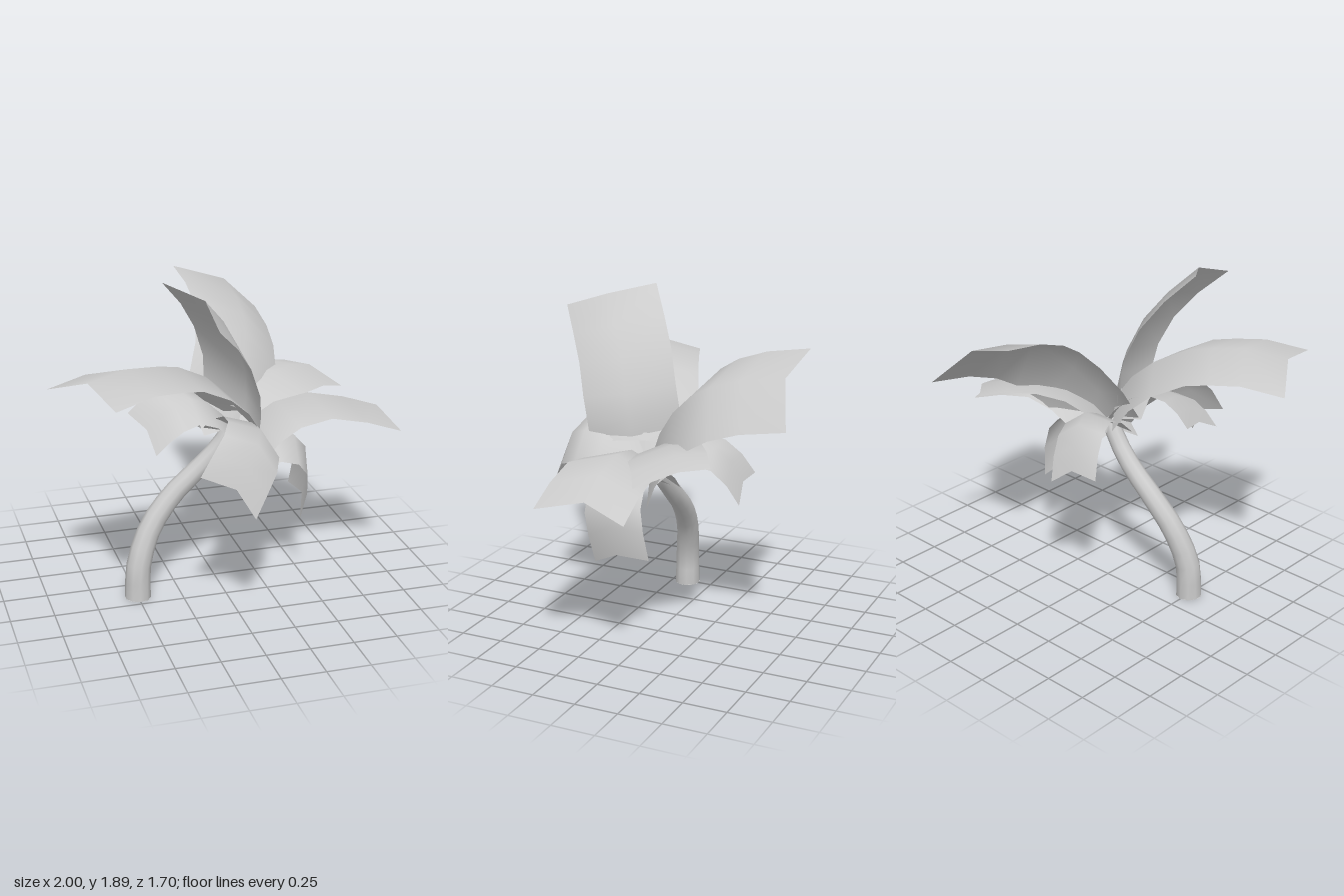
import * as THREE from 'three';

const material = new THREE.MeshStandardMaterial({ color: 0xcccccc, side: THREE.DoubleSide });

// Folded leaf: midrib path from base to tip, plus the offsets of its two edges at base and tip
function frond(name, { rib, base, tip }) {
  const ribPoints = rib.map((p) => new THREE.Vector3(...p));
  const offset = (side, t) =>
    new THREE.Vector3(...base[side]).lerp(new THREE.Vector3(...tip[side]), t);
  const positions = [];
  const index = [];
  ribPoints.forEach((p, i) => {
    const t = i / (ribPoints.length - 1);
    const row = [p.clone().add(offset(0, t)), p, p.clone().add(offset(1, t))];
    row.forEach((v) => positions.push(v.x, v.y, v.z));
    if (i === 0) return;
    for (let j = 0; j < 2; j++) {
      const a = (i - 1) * 3 + j;
      index.push(a, a + 1, a + 3, a + 1, a + 4, a + 3);
    }
  });
  const geometry = new THREE.BufferGeometry();
  geometry.setAttribute('position', new THREE.Float32BufferAttribute(positions, 3));
  geometry.setIndex(index);
  geometry.computeVertexNormals();
  const mesh = new THREE.Mesh(geometry, material);
  mesh.name = name;
  return mesh;
}

// Curved trunk, tapering towards the crown
function trunk() {
  const group = new THREE.Group();
  group.name = 'trunk';
  const curve = new THREE.CatmullRomCurve3([
    [-0.5, 0, 0.155], [-0.49, 0.2, 0.15], [-0.41, 0.41, 0.115], [-0.27, 0.585, 0.085],
    [-0.11, 0.73, 0.08], [0.01, 0.86, 0.09], [0.08, 0.98, 0.1],
  ].map((p) => new THREE.Vector3(...p)));
  const rings = 12, sides = 10;
  const geometry = new THREE.TubeGeometry(curve, rings, 0.075, sides);
  const pos = geometry.attributes.position;
  const v = new THREE.Vector3();
  for (let i = 0; i < pos.count; i++) {
    const t = Math.floor(i / (sides + 1)) / rings;
    const c = curve.getPointAt(t);
    v.fromBufferAttribute(pos, i).sub(c).multiplyScalar(1 - 0.35 * t).add(c);
    pos.setXYZ(i, v.x, Math.max(v.y, 0), v.z);
  }
  const stem = new THREE.Mesh(geometry, material);
  stem.name = 'trunkStem';
  const foot = new THREE.Mesh(new THREE.CircleGeometry(0.075, sides), material);
  foot.name = 'trunkFoot';
  foot.rotation.x = Math.PI / 2;
  foot.position.set(-0.5, 0.002, 0.155);
  group.add(stem, foot);
  return group;
}

const fronds = {
  rightLongFrond: {
    rib: [[0.09, 1.08, 0.16], [0, 1.22, 0.2], [-0.12, 1.33, 0.25], [-0.3, 1.43, 0.33],
      [-0.43, 1.46, 0.385], [-0.6, 1.485, 0.455], [-0.83, 1.46, 0.55]],
    base: [[-0.2, -0.07, -0.245], [0.045, -0.03, 0.305]],
    tip: [[-0.17, -0.1, -0.25], [0.08, -0.06, 0.3]],
  },
  uprightFrond: {
    rib: [[0.11, 1.1, 0.23], [0.115, 1.2, 0.24], [0.1, 1.34, 0.27], [0.03, 1.53, 0.33],
      [-0.07, 1.69, 0.42], [-0.2, 1.84, 0.53]],
    base: [[-0.18, 0.04, -0.23], [0, -0.02, 0.27]],
    tip: [[-0.17, 0.05, -0.23], [0, -0.09, 0.27]],
  },
  backFrond: {
    rib: [[0.05, 0.98, 0.13], [0.12, 1.14, 0.05], [0.2, 1.3, -0.07], [0.25, 1.42, -0.2],
      [0.27, 1.49, -0.32], [0.28, 1.55, -0.5], [0.28, 1.59, -0.755]],
    base: [[-0.25, 0.1, -0.09], [0.18, -0.26, -0.05]],
    tip: [[-0.31, 0.095, -0.025], [0.23, -0.22, -0.095]],
  },
  leftLongFrond: {
    rib: [[0.12, 0.95, 0.13], [0.2, 1.03, 0.13], [0.33, 1.1, 0.12], [0.52, 1.13, 0.11],
      [0.74, 1.08, 0.1], [0.96, 1, 0.08]],
    base: [[0.02, -0.1, -0.22], [0.07, -0.07, 0.27]],
    tip: [[0.005, -0.095, -0.23], [0.04, -0.065, 0.28]],
  },
  backLeftFrond: {
    rib: [[0.08, 0.95, 0.1], [0.15, 1.05, 0.04], [0.27, 1.14, -0.05], [0.4, 1.18, -0.15],
      [0.55, 1.18, -0.25], [0.69, 1.14, -0.33]],
    base: [[-0.1, 0, -0.13], [0.13, -0.08, 0.18]],
    tip: [[-0.12, 0, -0.13], [0.13, -0.08, 0.2]],
  },
  frontFrond: {
    rib: [[0.07, 0.95, 0.14], [0.1, 1.03, 0.25], [0.12, 1.09, 0.4], [0.11, 1.1, 0.53],
      [0.06, 1.06, 0.64], [-0.02, 0.97, 0.71], [-0.09, 0.86, 0.74]],
    base: [[-0.18, 0.05, 0.02], [0.1, -0.16, 0]],
    tip: [[-0.185, 0.075, -0.04], [0.1, -0.17, 0.03]],
  },
  leftDroopingFrond: {
    rib: [[0.1, 0.87, 0.17], [0.2, 0.93, 0.2], [0.3, 0.95, 0.2], [0.42, 0.91, 0.19],
      [0.49, 0.83, 0.18], [0.51, 0.7, 0.16], [0.49, 0.53, 0.14]],
    base: [[-0.01, -0.03, -0.17], [0, -0.12, 0.2]],
    tip: [[-0.02, -0.01, -0.19], [-0.07, -0.09, 0.17]],
  },
  rightShortFrond: {
    rib: [[0.08, 0.95, 0.14], [0, 1.07, 0.17], [-0.1, 1.16, 0.2], [-0.2, 1.2, 0.22],
      [-0.3, 1.18, 0.25], [-0.38, 1.13, 0.26], [-0.455, 1.06, 0.26]],
    base: [[-0.06, 0.03, -0.18], [0.02, -0.09, 0.17]],
    tip: [[-0.065, 0.04, -0.18], [0.01, -0.09, 0.17]],
  },
  backDroopingFrond: {
    rib: [[0.08, 0.95, 0.08], [0.06, 1.05, -0.03], [0.04, 1.1, -0.14], [0, 1.07, -0.24],
      [-0.04, 0.98, -0.32], [-0.08, 0.86, -0.38]],
    base: [[-0.17, -0.02, 0.03], [0.13, -0.1, -0.03]],
    tip: [[-0.18, 0, 0], [0.13, -0.1, -0.03]],
  },
};

export function createModel() {
  const model = new THREE.Group();
  model.name = 'palmTree';
  const crown = new THREE.Group();
  crown.name = 'crown';
  for (const [name, shape] of Object.entries(fronds)) crown.add(frond(name, shape));
  model.add(trunk(), crown);
  return model;
}
